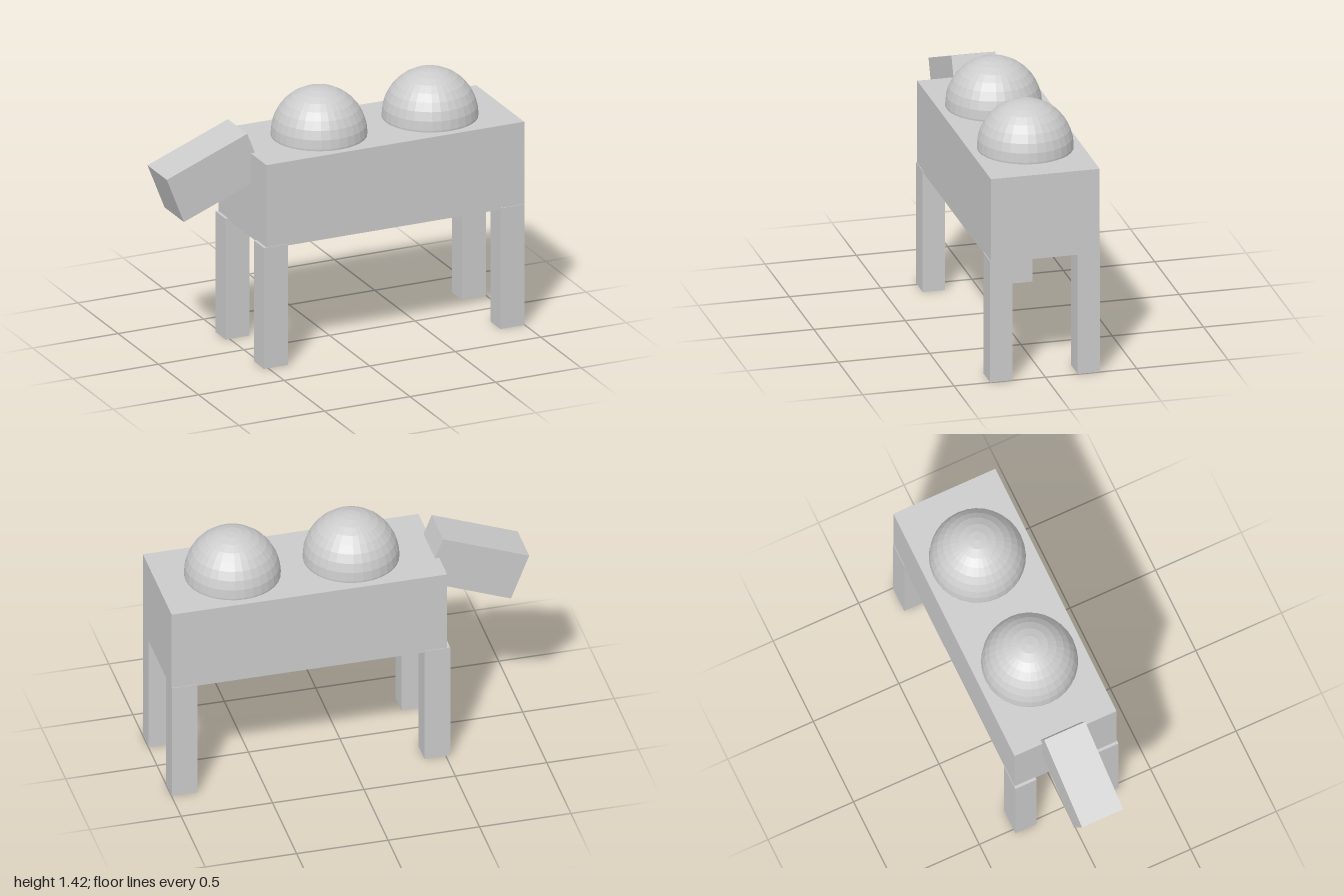
import * as THREE from 'three';

export function createModel() {
  const model = new THREE.Group();
  model.name = 'twoHumpedAnimal';
  const material = new THREE.MeshStandardMaterial({ color: 0xcccccc, flatShading: true });

  function add(name, geometry, x, y, z) {
    const mesh = new THREE.Mesh(geometry, material);
    mesh.name = name;
    mesh.position.set(x, y, z);
    model.add(mesh);
    return mesh;
  }

  // Body
  add('body', new THREE.BoxGeometry(1.507, 0.475, 0.596), 0.245, 0.913, 0);

  // Legs, overlapping the body's lower edge slightly
  const legShape = new THREE.BoxGeometry(0.141, 0.685, 0.123);
  for (const [end, x] of [['head', -0.454], ['tail', 0.928]]) {
    add(end + 'EndFrontLeg', legShape, x, 0.3425, 0.24);
    add(end + 'EndBackLeg', legShape, x, 0.3425, -0.239);
  }

  // Humps, sunk to their middles in the back
  const humpShape = new THREE.SphereGeometry(0.257, 32, 16);
  for (const x of [-0.061, 0.588]) add('hump', humpShape, x, 1.16, 0);

  // Head, tilted down and partly buried in the body
  const head = add('head', new THREE.BoxGeometry(0.505, 0.274, 0.24), -0.715, 1.045, -0.015);
  head.rotation.z = THREE.MathUtils.degToRad(21.4);

  return model;
}
